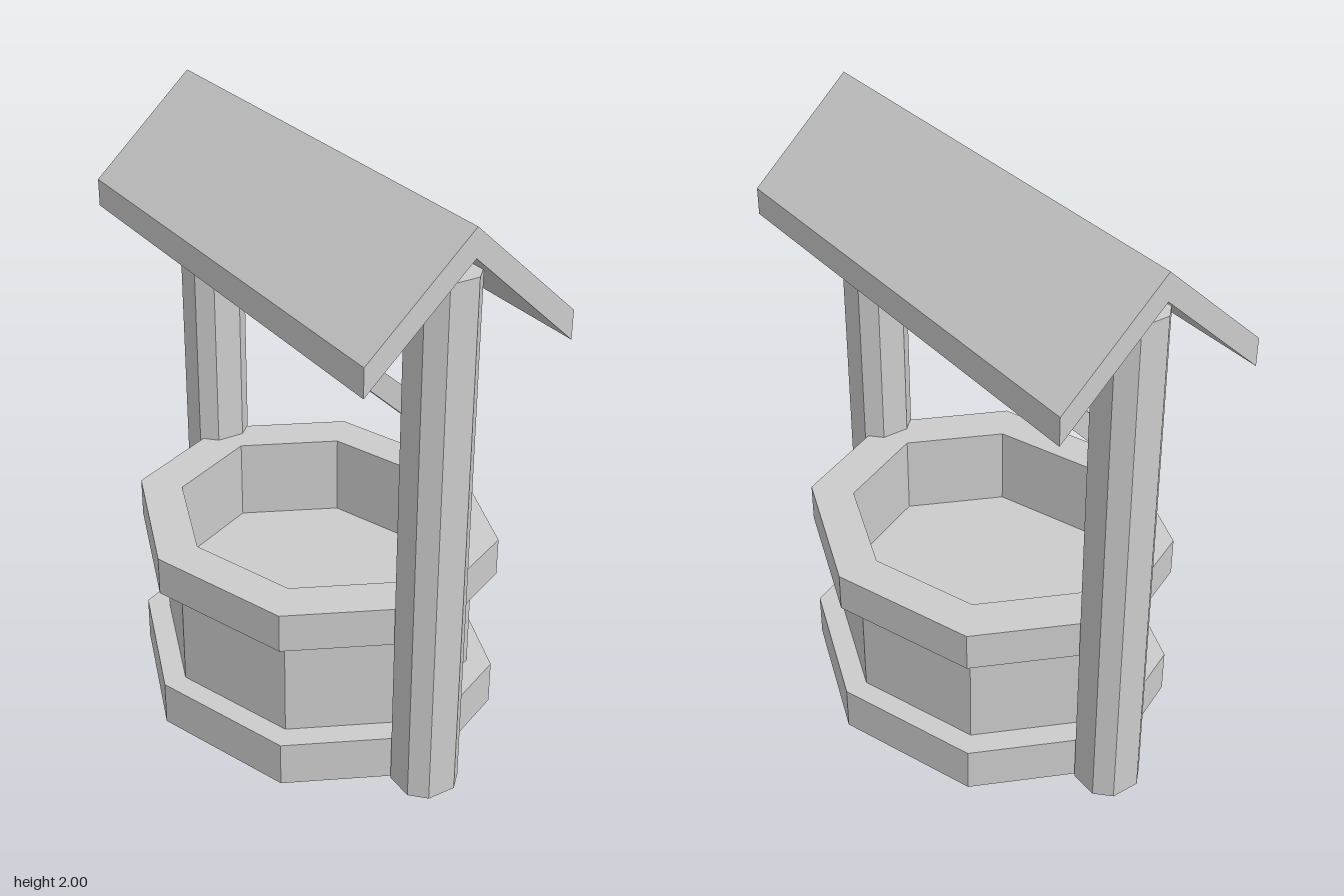
import * as THREE from 'three';

const material = new THREE.MeshStandardMaterial({ color: 0xcccccc, flatShading: true });
const Z_STRETCH = 1.144; // the well is longer front to back

// Eight corners of the stretched octagon
function octagon(radius) {
  return Array.from({ length: 8 }, (_, i) => {
    const a = (i * Math.PI) / 4;
    return new THREE.Vector2(radius * Math.cos(a), radius * Z_STRETCH * Math.sin(a));
  });
}

function addMesh(group, name, geometry) {
  const mesh = new THREE.Mesh(geometry, material);
  mesh.name = name;
  group.add(mesh);
  return mesh;
}

// Upright prism from a plan outline, between two heights
function prism(outline, y0, y1, hole) {
  const shape = new THREE.Shape(outline);
  if (hole) shape.holes.push(new THREE.Path(hole));
  return new THREE.ExtrudeGeometry(shape, { depth: y1 - y0, bevelEnabled: false })
    .rotateX(-Math.PI / 2)
    .translate(0, y0, 0);
}

// Bar along z from an x/y profile, centred on z = 0
function barAlongZ(points, length) {
  const shape = new THREE.Shape(points.map(([x, y]) => new THREE.Vector2(x, y)));
  return new THREE.ExtrudeGeometry(shape, { depth: length, bevelEnabled: false })
    .translate(0, 0, -length / 2);
}

export function createModel() {
  const well = new THREE.Group();
  well.name = 'well';

  // Stone basin: base ring, wall, rim and raised floor
  addMesh(well, 'baseRing', prism(octagon(0.6), 0, 0.157, octagon(0.52)));
  addMesh(well, 'basinWall', prism(octagon(0.52), 0.157, 0.535, octagon(0.455)));
  addMesh(well, 'basinRim', prism(octagon(0.6), 0.535, 0.67, octagon(0.455)));
  addMesh(well, 'basinFloor', prism(octagon(0.456), 0.365, 0.38));

  // Square posts with chamfered corners, front and back
  const w = 0.1, c = 0.05;
  const section = [[w, -c], [w, c], [c, w], [-c, w], [-w, c], [-w, -c], [-c, -w], [c, -w]]
    .map(([x, y]) => new THREE.Vector2(x, y));
  for (const [name, z] of [['frontPost', 0.7], ['backPost', -0.7]]) {
    addMesh(well, name, prism(section, 0, 1.825)).position.z = z;
  }

  // Crossbar set on edge between the posts
  const r = 0.05;
  addMesh(well, 'crossbar', barAlongZ([[r, 0], [0, r], [-r, 0], [0, -r]], 1.2)).position.y = 1.325;

  // Gabled roof
  addMesh(well, 'roof', barAlongZ(
    [[0, 2], [-0.358, 1.67], [-0.358, 1.575], [0, 1.907], [0.358, 1.575], [0.358, 1.67]], 1.69));

  return well;
}
